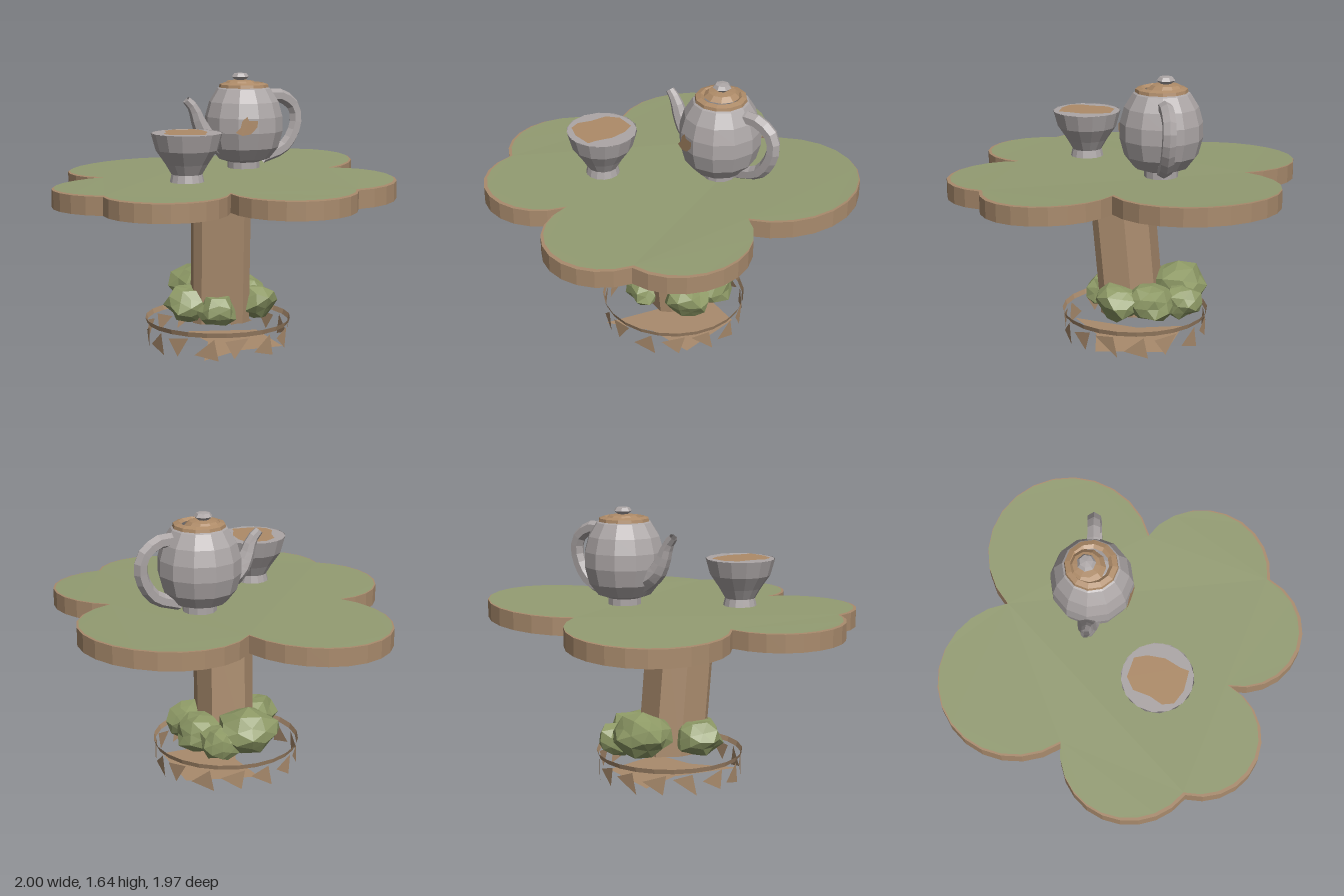
import * as THREE from 'three';

const mat = (name, color) => new THREE.MeshStandardMaterial({ name, color, flatShading: true, side: THREE.DoubleSide });
const V3 = (p) => new THREE.Vector3(...p);
const V2 = (p) => new THREE.Vector2(...p);

// small seeded noise in -0.5..0.5
const noise = (a, b, c) => {
  const s = Math.sin(a * 127.1 + b * 311.7 + c * 74.7) * 43758.5453;
  return s - Math.floor(s) - 0.5;
};

// arc from a to b bulging through the tip, without its last point
function arc([ax, ay], [tx, ty], [bx, by], steps) {
  const d = 2 * (ax * (ty - by) + tx * (by - ay) + bx * (ay - ty));
  const A = ax * ax + ay * ay, T = tx * tx + ty * ty, B = bx * bx + by * by;
  const cx = (A * (ty - by) + T * (by - ay) + B * (ay - ty)) / d;
  const cy = (A * (bx - tx) + T * (ax - bx) + B * (tx - ax)) / d;
  const r = Math.hypot(ax - cx, ay - cy);
  const a0 = Math.atan2(ay - cy, ax - cx);
  const sweep = (Math.atan2(by - cy, bx - cx) - a0 + Math.PI * 4) % (Math.PI * 2);
  return Array.from({ length: steps }, (_, i) => {
    const t = a0 + sweep * i / steps;
    return [cx + r * Math.cos(t), cy + r * Math.sin(t)];
  });
}

// flat shape from (x, z) points, lying level and facing up
const flat = (pts) => new THREE.Shape(pts.map(([x, z]) => new THREE.Vector2(x, -z)));

// move every vertex by a rule
function warp(geo, rule) {
  const p = geo.attributes.position, v = new THREE.Vector3();
  for (let i = 0; i < p.count; i++) {
    v.fromBufferAttribute(p, i);
    rule(v);
    p.setXYZ(i, v.x, v.y, v.z);
  }
  geo.computeVertexNormals();
  return geo;
}

// tube whose radius runs from r0 to r1
function taperedTube(points, r0, r1, segs, sides) {
  const curve = new THREE.CatmullRomCurve3(points.map(V3));
  const geo = new THREE.TubeGeometry(curve, segs, 1, sides);
  const p = geo.attributes.position, v = new THREE.Vector3();
  for (let i = 0; i < p.count; i++) {
    const t = Math.floor(i / (sides + 1)) / segs;
    const c = curve.getPointAt(t);
    v.fromBufferAttribute(p, i).sub(c).multiplyScalar(r0 + (r1 - r0) * t).add(c);
    p.setXYZ(i, v.x, v.y, v.z);
  }
  geo.computeVertexNormals();
  return geo;
}

export function createModel() {
  const root = new THREE.Group();
  root.name = 'teaTable';
  const wood = mat('wood', 0xa98b6d);
  const moss = mat('moss', 0x939c72);
  const leaf = mat('leaf', 0x8e9a66);
  const china = mat('china', 0xaca6a6);
  const tea = mat('tea', 0xae8b68);
  const add = (name, geo, material, parent = root) => {
    const m = new THREE.Mesh(geo, material);
    m.name = name;
    parent.add(m);
    return m;
  };

  // six-lobed, slightly warped table top
  const notches = [[-.03, -.71], [.69, -.09], [.7, .68], [-.02, .69], [-.72, .68], [-.7, -.09]];
  const tips = [[.75, -.85], [1, .32], [.4, .985], [-.42, .985], [-1, .33], [-.77, -.8]];
  const outline = notches.flatMap((n, i) => arc(n, tips[i], notches[(i + 1) % 6], i < 1 || i > 4 ? 14 : 10));
  const tilt = (v) => { v.y += .025 * v.x - .012 * v.z - .025 * v.x * v.z; };
  const slab = new THREE.ExtrudeGeometry(flat(outline), { depth: .105, bevelEnabled: false });
  add('tableTop', warp(slab.rotateX(-Math.PI / 2).translate(0, .94, 0), tilt), wood);
  const cover = new THREE.ShapeGeometry(flat(outline)).rotateX(-Math.PI / 2);
  cover.scale(.988, 1, .988).translate(0, 1.05, -.008);
  add('mossCover', warp(cover, tilt), moss);

  // leaning faceted trunk
  const trunk = [[-.125, .17], [.125, .17], [.17, .12], [.17, -.04], [.1, -.17], [-.1, -.17], [-.17, -.04], [-.17, .12]];
  const post = new THREE.ExtrudeGeometry(flat(trunk), { depth: .8, bevelEnabled: false });
  post.rotateX(-Math.PI / 2).translate(0, .16, 0);
  add('trunk', warp(post, (v) => { v.z += -.04 + .09 * (v.y - .16); }), wood);

  // open base: rim band, broken skirt and floor plate
  const base = new THREE.Group();
  base.name = 'base';
  base.position.set(-.005, 0, -.05);
  root.add(base);
  add('baseRim', new THREE.CylinderGeometry(.445, .435, .03, 24, 1, true).translate(0, .155, 0), wood, base);
  const teeth = [];
  const onRim = (a, y) => [.435 * Math.cos(a), y, .435 * Math.sin(a)];
  for (let i = 0; i < 15; i++) {
    const a = i / 15 * Math.PI * 2, n = noise(i, 2, 5);
    if (i % 2) teeth.push(...onRim(a, .13), ...onRim(a + .33, .1 + n * .04), ...onRim(a + .12 + n * .2, .01));
    else teeth.push(...onRim(a, 0), ...onRim(a + .33, .07 + n * .1), ...onRim(a + .06, .13));
  }
  const skirt = new THREE.BufferGeometry();
  skirt.setAttribute('position', new THREE.Float32BufferAttribute(teeth, 3));
  skirt.computeVertexNormals();
  add('baseSkirt', skirt, wood, base);
  const floor = flat([[.38, .15], [.28, -.26], [-.16, -.27], [-.06, 0], [-.13, .42], [.1, .22]]);
  add('baseFloor', new THREE.ShapeGeometry(floor).rotateX(-Math.PI / 2).translate(0, .004, 0), wood, base);

  // leafy clumps around the foot of the trunk: x, y, z, radius, height
  const clumps = [[-.1, .31, -.3, .18, .13], [.18, .27, -.2, .15, .11], [-.19, .27, .04, .14, .11],
    [.21, .27, -.01, .13, .11], [-.03, .25, .14, .12, .09], [.08, .26, -.36, .12, .1]];
  clumps.forEach(([x, y, z, r, h], k) => {
    const g = warp(new THREE.IcosahedronGeometry(1, 1), (v) => {
      const q = [v.x, v.y, v.z].map((c) => Math.round(c * 100) / 100 + k);
      v.multiplyScalar(1 + .34 * noise(...q));
    });
    add('leafClump', g.scale(r, h, r).translate(x, y, z), leaf);
  });

  // teapot
  const pot = new THREE.Group();
  pot.name = 'teapot';
  pot.position.set(.18, 0, -.25);
  root.add(pot);
  const turn = (pts, sides) => new THREE.LatheGeometry(pts.map(V2), sides, Math.PI / sides);
  add('potBody', turn([[0, 1.06], [.1, 1.06], [.1, 1.1], [.16, 1.12], [.215, 1.19], [.242, 1.29], [.24, 1.38],
    [.215, 1.47], [.165, 1.55], [.13, 1.57]], 12), china, pot);
  add('potCollar', turn([[.155, 1.55], [.15, 1.575], [.12, 1.585], [.1, 1.57]], 12), tea, pot);
  const lid = new THREE.Group();
  lid.name = 'lid';
  lid.position.set(-.02, 0, -.02);
  pot.add(lid);
  add('lidDome', turn([[.11, 1.57], [.08, 1.595], [0, 1.605]], 10), tea, lid);
  add('lidKnob', turn([[.03, 1.6], [.055, 1.62], [.04, 1.64], [0, 1.645]], 7), china, lid);
  add('handle', taperedTube([[.13, 1.49, -.04], [.23, 1.5, -.08], [.33, 1.43, -.12], [.345, 1.32, -.12],
    [.27, 1.18, -.09], [.12, 1.12, -.04]], .042, .042, 12, 6), china, pot);
  add('spout', taperedTube([[-.14, 1.21, .04], [-.24, 1.27, .07], [-.29, 1.36, .09], [-.32, 1.44, .1],
    [-.365, 1.49, .11]], .075, .026, 8, 7), china, pot);
  const spot = new THREE.Shape([[-.07, 1.3], [-.03, 1.28], [.02, 1.29], [.06, 1.33], [.065, 1.37], [.01, 1.37],
    [0, 1.395], [-.03, 1.37], [-.04, 1.33]].map(V2));
  add('potSpot', new THREE.ShapeGeometry(spot).translate(-.01, 0, .241), tea, pot);

  // filled cup
  const cup = new THREE.Group();
  cup.name = 'cup';
  cup.position.set(-.225, 0, .31);
  root.add(cup);
  add('cupBowl', turn([[0, 1.055], [.1, 1.055], [.09, 1.1], [.125, 1.16], [.18, 1.24], [.207, 1.338]], 14), china, cup);
  add('cupSurface', new THREE.CircleGeometry(.205, 14, Math.PI / 14).rotateX(-Math.PI / 2).translate(0, 1.336, 0), china, cup);
  const pool = flat([[-.12, -.1], [-.06, -.16], [.06, -.165], [.1, -.1], [.12, 0], [.1, .1], [.1, .15],
    [-.02, .165], [-.11, .14], [-.14, .08], [-.12, 0]]);
  add('teaPool', new THREE.ShapeGeometry(pool).rotateX(-Math.PI / 2).translate(0, 1.341, 0), tea, cup);

  return root;
}
